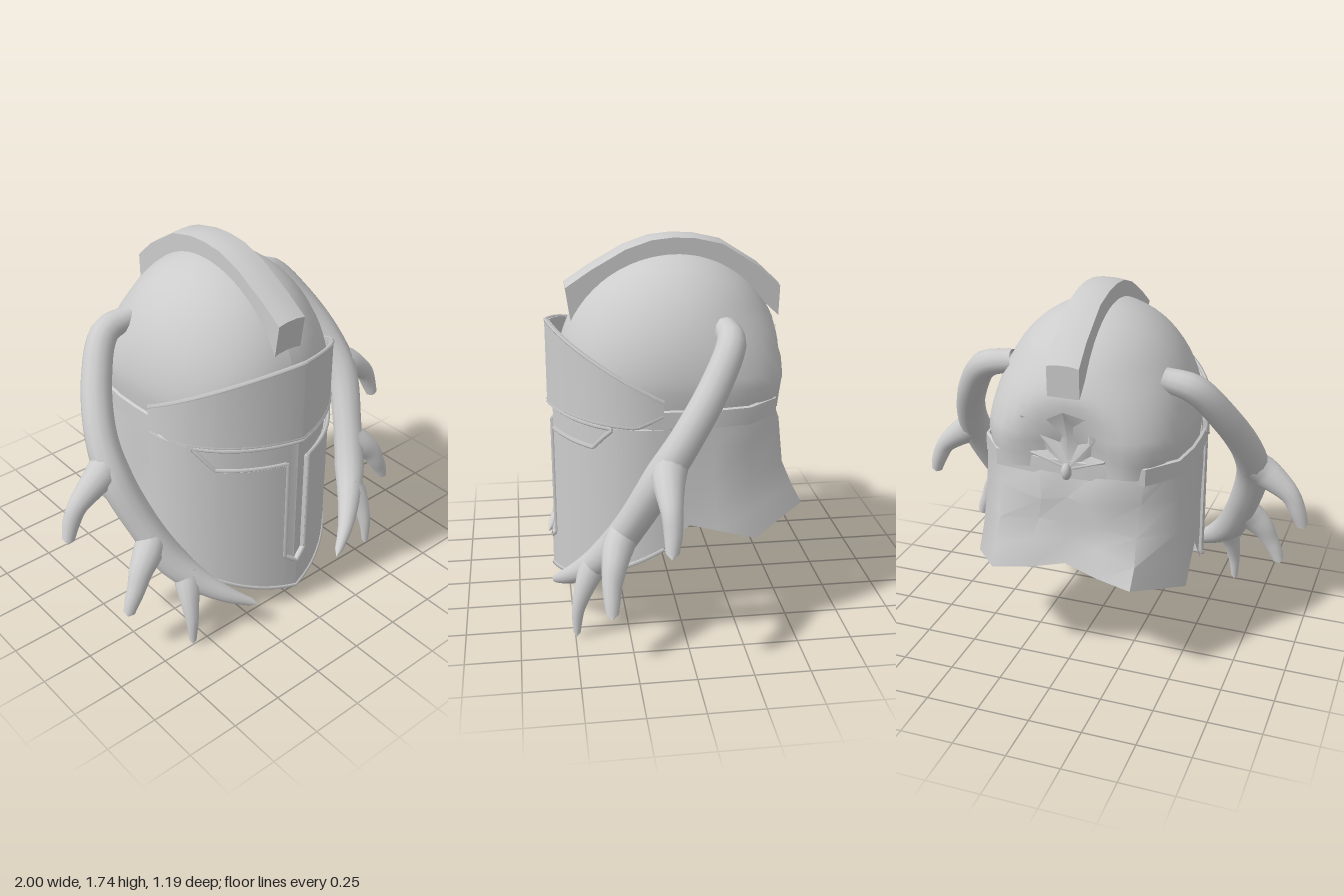
import * as THREE from 'three';
import { toCreasedNormals } from 'three/addons/utils/BufferGeometryUtils.js';

const steel = new THREE.MeshStandardMaterial({ color: 0xcccccc, side: THREE.DoubleSide });
steel.name = 'pale grey';

const V = (x, y, z) => new THREE.Vector3(x, y, z);

function part(name, geometry) {
  const mesh = new THREE.Mesh(geometry, steel);
  mesh.name = name;
  return mesh;
}

// Surface through equal-length rows of points
function loft(rows, crease = 0.6) {
  const w = rows[0].length, index = [];
  for (let i = 0; i < rows.length - 1; i++)
    for (let j = 0; j < w - 1; j++) {
      const a = i * w + j, b = a + w;
      index.push(a, b, a + 1, b, b + 1, a + 1);
    }
  const g = new THREE.BufferGeometry().setFromPoints(rows.flat());
  g.setIndex(index);
  return toCreasedNormals(g, crease);
}

// Loft of closed loops with both ends closed onto their middle
function closedLoft(loops, crease) {
  const rows = loops.map(l => [...l, l[0]]);
  const cap = row => row.map(() => row[0].clone().lerp(row[row.length >> 1], 0.5));
  return loft([cap(rows[0]), ...rows, cap(rows[rows.length - 1])], crease);
}

// Pointed plan curve of the face guard: x, y and an offset along the normal
function face(x, y, off = 0) {
  const c = Math.min(1, (Math.abs(x) + 0.2) / 0.69), s = Math.sqrt(1 - c * c);
  return V(x + Math.sign(x) * c * off, y, 0.08 + (0.517 + off) * s);
}
const faceZ = x => face(x, 0).z;
const lowerEdge = x => 0.1 + (0.573 - faceZ(x)) * 0.56;
const browTop = x => 1.09 + (faceZ(x) - 0.08) * 0.54;
const browBottom = x => 0.97 + Math.max(0, 0.2 - faceZ(x)) * 0.5;
// Upper edge of the cheeks, cut away for the T-shaped opening
function cheekTop(x) {
  const a = Math.abs(x);
  if (a < 0.055) return 0.26 + a * 0.7;
  if (a < 0.35) return 0.835;
  return Math.min(0.96, 0.835 + (a - 0.35) * 1.5);
}

const columns = [0, 0.0549, 0.0551, 0.35, 0.433];
for (let i = 0; i <= 16; i++) columns.push(0.69 * Math.cos(i / 16 * 1.26) - 0.2);
columns.sort((a, b) => a - b);
const xs = [...columns.slice(1).reverse().map(x => -x), ...columns];

// Curved plate with thickness between two edge functions
const plate = (lo, hi, outer, inner) => closedLoft(xs.map(x => [
  face(x, lo(x), outer), face(x, hi(x), outer), face(x, hi(x), inner), face(x, lo(x), inner),
]), 0.3);

// Narrow raised lip following a line on the face guard
function lip(outline, steps, segments, closed) {
  const path = new THREE.CurvePath();
  let last = null;
  for (let i = 0; i < outline.length - 1; i++)
    for (let k = 0; k <= steps; k++) {
      const t = k / steps, [a, b] = [outline[i], outline[i + 1]];
      const p = face(a[0] + (b[0] - a[0]) * t, a[1] + (b[1] - a[1]) * t, -0.002);
      if (last && last.distanceTo(p) > 1e-5) path.add(new THREE.LineCurve3(last, p));
      last = p;
    }
  return new THREE.TubeGeometry(path, segments, 0.011, 4, closed);
}

// Tapering horn along a smooth path; each point is [x, y, z, radius]
function horn(points, segments) {
  const curve = new THREE.CatmullRomCurve3(points.map(p => V(p[0], p[1], p[2])));
  const radial = 12, g = new THREE.TubeGeometry(curve, segments, 1, radial);
  const pos = g.attributes.position, v = V(0, 0, 0);
  for (let i = 0; i <= segments; i++) {
    const u = i / segments, c = curve.getPointAt(u);
    const f = curve.getUtoTmapping(u) * (points.length - 1);
    const k = Math.min(points.length - 2, Math.floor(f));
    const r = i === segments ? 0.001 : THREE.MathUtils.lerp(points[k][3], points[k + 1][3], f - k);
    for (let j = 0; j <= radial; j++) {
      const n = i * (radial + 1) + j;
      v.fromBufferAttribute(pos, n).sub(c).multiplyScalar(r).add(c);
      pos.setXYZ(n, v.x, v.y, v.z);
    }
  }
  return g;
}

// Full row from the +x half, mirrored about the back seam
const mirrored = half => [...half.map(p => V(...p)), ...half.slice(0, -1).reverse().map(p => V(-p[0], p[1], p[2]))];

export function createModel() {
  const model = new THREE.Group();
  model.name = 'hornedHelmet';

  // Skull dome: longer in front, squarer low down, dented around the knot at the back
  const profile = [[0.97, 0.99], [0.985, 1.06]].map(p => new THREE.Vector2(...p));
  for (let i = 0; i <= 18; i++) {
    const a = i / 18 * Math.PI / 2;
    profile.push(new THREE.Vector2(Math.max(0, Math.cos(a)), 1.12 + 0.55 * Math.sin(a)));
  }
  const dome = new THREE.LatheGeometry(profile, 48);
  const pos = dome.attributes.position;
  for (let i = 0; i < pos.count; i++) {
    const y = pos.getY(i), front = pos.getZ(i) > 0;
    const low = THREE.MathUtils.clamp((1.42 - y) / 0.3, 0, 1);
    const corner = Math.sin(2 * Math.atan2(pos.getX(i), pos.getZ(i))) ** 2;
    const square = 1 + (front ? 0.03 : 0.12) * low * corner;
    const x = pos.getX(i) * 0.478 * square;
    const dent = front ? 0 : Math.max(0, 1 - Math.hypot(x, y - 1.05) / 0.3);
    pos.setXYZ(i, x, y, pos.getZ(i) * (front ? 0.555 : 0.515) * square - 0.03 + 0.12 * dent);
  }
  dome.computeVertexNormals();
  model.add(part('dome', dome));

  // Crest over the crown: outer and inner arcs as [z, y]
  const outer = [[0.48, 1.52], [0.36, 1.6], [0.2, 1.69], [0.08, 1.73], [-0.02, 1.74], [-0.12, 1.735], [-0.25, 1.705], [-0.43, 1.59], [-0.525, 1.5]];
  const inner = [[0.455, 1.34], [0.33, 1.48], [0.18, 1.58], [0.07, 1.62], [-0.02, 1.63], [-0.1, 1.625], [-0.2, 1.59], [-0.37, 1.5], [-0.52, 1.36]];
  model.add(part('crest', closedLoft(outer.map(([z, y], i) => {
    const [iz, iy] = inner[i], w = 0.075;
    return [V(-w, iy, iz), V(-w, y, z), V(-w * 0.4, y + 0.008, z), V(w * 0.4, y + 0.008, z), V(w, y, z), V(w, iy, iz)];
  }), 0.8)));

  // Face guard: cheeks, brow and the recessed backing behind the opening
  model.add(part('cheekGuard', plate(lowerEdge, cheekTop, 0, -0.018)));
  model.add(part('brow', plate(browBottom, browTop, 0.004, -0.018)));
  model.add(part('faceBacking', loft(xs.map(x => [face(x, lowerEdge(x) + 0.01, -0.022), face(x, browTop(x) - 0.01, -0.022)]), 0.3)));

  // Raised lips
  const half = [[0, 0.25], [0.064, 0.295], [0.064, 0.845], [0.355, 0.845], [0.425, 0.953], [0, 0.953]];
  const slot = [...half, ...half.slice(0, -1).reverse().map(p => [-p[0], p[1]])];
  model.add(part('openingLip', lip(slot, 8, 220, true)));
  const edge = f => xs.map(x => [x, f(x)]);
  for (const [name, f] of [['browLip', browTop], ['browLowerLip', browBottom], ['chinLip', lowerEdge]])
    model.add(part(name, lip(edge(f), 1, 60, false)));

  // Neck curtain, flaring to two corners beside the pinched back seam
  const curtain = [
    [[0.48, 1.02, 0.13], [0.488, 1.02, -0.02], [0.488, 1.02, -0.15], [0.465, 1.02, -0.31], [0.35, 1.01, -0.45], [0.14, 1, -0.475], [0, 1, -0.48]],
    [[0.48, 0.86, 0.13], [0.485, 0.86, -0.02], [0.49, 0.86, -0.15], [0.475, 0.86, -0.31], [0.34, 0.87, -0.46], [0.11, 0.86, -0.53], [0, 0.87, -0.49]],
    [[0.475, 0.7, 0.13], [0.48, 0.72, -0.02], [0.495, 0.7, -0.15], [0.485, 0.7, -0.32], [0.33, 0.72, -0.5], [0.14, 0.74, -0.49], [0, 0.75, -0.5]],
    [[0.475, 0.52, 0.13], [0.48, 0.58, -0.02], [0.495, 0.55, -0.16], [0.51, 0.55, -0.31], [0.34, 0.6, -0.55], [0.16, 0.65, -0.53], [0, 0.66, -0.5]],
    [[0.47, 0.31, 0.14], [0.485, 0.49, -0.04], [0.5, 0.46, -0.17], [0.525, 0.425, -0.34], [0.335, 0.505, -0.6], [0.16, 0.52, -0.565], [0, 0.55, -0.53]],
  ];
  model.add(part('neckCurtain', loft(curtain.map(mirrored), 0.9)));

  // Strap around the sides and back
  const strapRow = (y, s) => mirrored(curtain[0].map(p => [p[0] * s, y, p[2] * s]));
  model.add(part('strap', loft([strapRow(1.05, 0.99), strapRow(1.045, 1.015), strapRow(0.965, 1.015), strapRow(0.96, 0.99)])));

  // Uneven folds of cloth gathered at a knot on the back
  const folds = [[], [], []];
  for (let i = 0; i <= 10; i++) {
    const a = i / 10 * Math.PI, x = Math.cos(a), y = Math.sin(a), up = i % 2;
    const r = 0.9 + 0.1 * Math.cos(i * 2.4);
    folds[0].push(V(x * 0.02, 1.01 + y * 0.02, -0.49));
    folds[1].push(V(x * 0.18, 1.02 + y * 0.14, up ? -0.485 : -0.45));
    folds[2].push(V(x * 0.38 * r, 1.03 + y * 0.27 * r, -0.53 + 0.1 * x * x + (up ? 0 : 0.03)));
  }
  model.add(part('gatheredCloth', loft(folds, 0.7)));
  const knot = new THREE.IcosahedronGeometry(0.03, 1);
  knot.scale(0.8, 1.4, 1).translate(0, 1, -0.495);
  model.add(part('knot', knot));

  // Antlers: main beam and three tines on each side
  const beam = horn([[0.36, 1.385, -0.215, 0.055], [0.5, 1.355, -0.215, 0.066], [0.62, 1.2, -0.125, 0.07], [0.705, 1.0, 0.01, 0.073],
    [0.718, 0.84, 0.115, 0.08], [0.655, 0.6, 0.24, 0.074], [0.58, 0.42, 0.345, 0.077], [0.5, 0.315, 0.43, 0.06],
    [0.39, 0.22, 0.52, 0.038], [0.265, 0.14, 0.59, 0.014]], 48);
  const tines = [
    [[0.71, 0.9, 0.07, 0.072], [0.77, 0.86, 0.095, 0.076], [0.83, 0.82, 0.1, 0.064], [0.91, 0.75, 0.1, 0.046], [0.95, 0.67, 0.1, 0.04], [0.982, 0.575, 0.11, 0.026]],
    [[0.64, 0.54, 0.28, 0.07], [0.69, 0.495, 0.31, 0.07], [0.745, 0.435, 0.33, 0.056], [0.785, 0.36, 0.345, 0.043], [0.815, 0.3, 0.348, 0.036], [0.842, 0.23, 0.35, 0.024]],
    [[0.53, 0.37, 0.39, 0.062], [0.55, 0.31, 0.425, 0.06], [0.565, 0.24, 0.455, 0.045], [0.575, 0.14, 0.485, 0.03], [0.58, 0.005, 0.495, 0.014]],
  ].map(t => horn(t, 16));
  for (const side of [1, -1]) {
    const antler = new THREE.Group();
    antler.name = side > 0 ? 'leftAntler' : 'rightAntler';
    antler.add(part('beam', beam), ...tines.map((t, i) => part('tine' + (i + 1), t)));
    antler.scale.x = side;
    model.add(antler);
  }
  return model;
}
